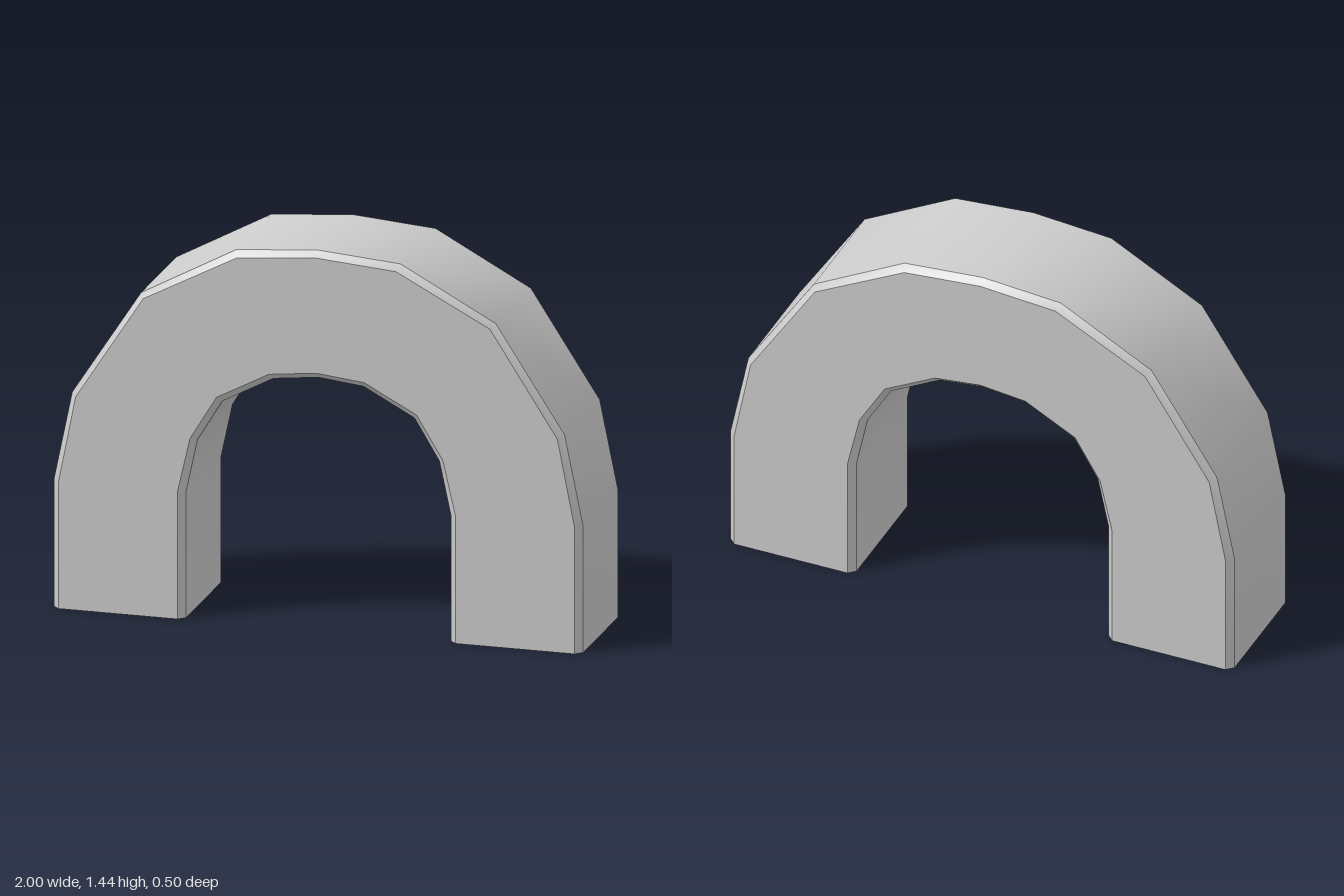
import * as THREE from 'three';

// Half outlines of the arch, from the foot to the crown
const outerWall = [[1, 0], [1, 0.48], [0.93, 0.82], [0.67, 1.22], [0.31, 1.415], [0, 1.44]];
const outerFace = [[0.975, 0], [0.975, 0.48], [0.91, 0.81], [0.655, 1.205], [0.3, 1.392], [0, 1.417]];
const innerFace = [[0.525, 0], [0.525, 0.485], [0.478, 0.69], [0.378, 0.855], [0.18, 0.96], [0, 0.98]];
const innerWall = [[0.5, 0], [0.5, 0.48], [0.457, 0.68], [0.363, 0.835], [0.17, 0.938], [0, 0.957]];

// Mirror a half outline into a full rail at depth z
function rail(half, z) {
  const mirrored = half.slice(0, -1).reverse().map(([x, y]) => [-x, y]);
  return [...half, ...mirrored].map(([x, y]) => [x, y, z]);
}

// Surface between two rails, smooth along its length
function strip(a, b) {
  const index = [];
  const n = a.length;
  for (let k = 0; k < n - 1; k++) {
    index.push(k, k + 1, n + k + 1, k, n + k + 1, n + k);
  }
  const geometry = new THREE.BufferGeometry();
  geometry.setAttribute('position', new THREE.Float32BufferAttribute([...a, ...b].flat(), 3));
  geometry.setIndex(index);
  geometry.computeVertexNormals();
  return geometry;
}

export function createModel() {
  const group = new THREE.Group();
  group.name = 'arch';
  const material = new THREE.MeshStandardMaterial({ color: 0xcccccc, side: THREE.DoubleSide });

  // Rails around the bevelled cross-section; the feet are open
  const face = 0.25, wall = 0.225;
  const rails = [
    rail(outerWall, wall), rail(outerFace, face), rail(innerFace, face), rail(innerWall, wall),
    rail(innerWall, -wall), rail(innerFace, -face), rail(outerFace, -face), rail(outerWall, -wall),
  ];
  const names = [
    'frontOuterBevel', 'frontFace', 'frontInnerBevel', 'innerWall',
    'backInnerBevel', 'backFace', 'backOuterBevel', 'outerWall',
  ];
  names.forEach((name, i) => {
    const mesh = new THREE.Mesh(strip(rails[i], rails[(i + 1) % rails.length]), material);
    mesh.name = name;
    group.add(mesh);
  });
  return group;
}
